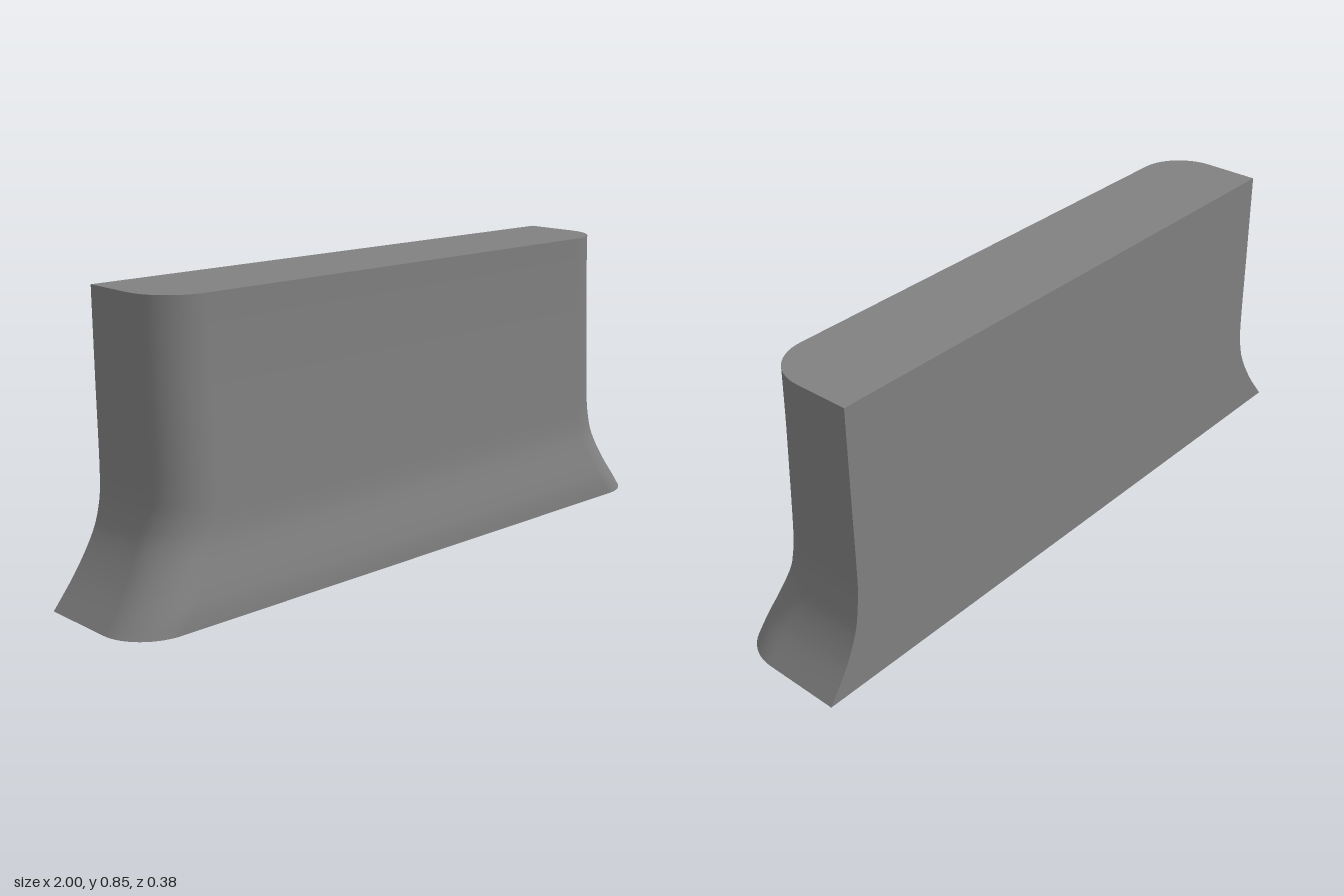
import * as THREE from 'three';

const BACK = -0.187, TOP = 0.848, RADIUS = 0.14, ROWS = 40, ARC = 14;

// Smooth curve through [value, height] pairs, sampled at the given height
function profile(pairs) {
  const points = new THREE.SplineCurve(pairs.map(([v, y]) => new THREE.Vector2(v, y))).getPoints(300);
  return (y) => {
    const i = Math.max(1, points.findIndex((p) => p.y >= y));
    const a = points[i - 1], b = points[i];
    return a.x + (b.x - a.x) * THREE.MathUtils.clamp((y - a.y) / (b.y - a.y), 0, 1);
  };
}

const leftEdge = profile([[-1, 0], [-0.93, 0.09], [-0.875, 0.18], [-0.85, 0.25], [-0.84, 0.34], [-0.84, 0.6], [-0.84, 0.86]]);
const rightEdge = profile([[1, 0], [0.94, 0.09], [0.9, 0.18], [0.885, 0.26], [0.879, 0.34], [0.879, 0.6], [0.879, 0.86]]);
const frontEdge = profile([[0.188, 0], [0.184, 0.05], [0.173, 0.1], [0.148, 0.2], [0.14, 0.26], [0.136, 0.34], [0.126, 0.55], [0.12, 0.7], [0.117, 0.86]]);

// Outline at one height: back corner, rounded front corners, back corner
function section(y) {
  const x0 = leftEdge(y), x1 = rightEdge(y), z = frontEdge(y);
  const out = [[x0, BACK]];
  for (let i = 0; i <= ARC; i++) {
    const a = (i / ARC) * Math.PI / 2;
    out.push([x0 + RADIUS * (1 - Math.cos(a)), z - RADIUS * (1 - Math.sin(a))]);
  }
  for (let i = ARC; i >= 0; i--) {
    const a = (i / ARC) * Math.PI / 2;
    out.push([x1 - RADIUS * (1 - Math.cos(a)), z - RADIUS * (1 - Math.sin(a))]);
  }
  out.push([x1, BACK]);
  // The base rises slightly towards the front
  return out.map(([x, pz]) => [x, y + 0.006 * (pz - BACK) / 0.375 * (1 - y / TOP), pz]);
}

// Surface through rows of points; columns run right and rows run up when seen from outside
function surface(name, rows, material) {
  const n = rows[0].length, index = [];
  for (let r = 0; r < rows.length - 1; r++) {
    for (let c = 0; c < n - 1; c++) {
      const a = r * n + c, d = a + n;
      index.push(a, a + 1, d + 1, a, d + 1, d);
    }
  }
  const geometry = new THREE.BufferGeometry();
  geometry.setAttribute('position', new THREE.Float32BufferAttribute(rows.flat(2), 3));
  geometry.setIndex(index);
  geometry.computeVertexNormals();
  const mesh = new THREE.Mesh(geometry, material);
  mesh.name = name;
  return mesh;
}

export function createModel() {
  const group = new THREE.Group();
  group.name = 'flaredBlock';
  const material = new THREE.MeshStandardMaterial({ color: 0x808080 });
  const rows = Array.from({ length: ROWS + 1 }, (_, i) => section(TOP * i / ROWS));

  // Flared front and sides
  group.add(surface('flaredWall', rows, material));

  // Flat back
  group.add(surface('backFace', rows.map((r) => [r[r.length - 1], r[0]]), material));

  // Flat top and base, spanning from the rounded outline to the back edge
  const cap = (row) => {
    const edge = row.slice(1, -1);
    return [edge, edge.map(([x]) => [x, row[0][1], BACK])];
  };
  group.add(surface('topFace', cap(rows[ROWS]), material));
  group.add(surface('baseFace', cap(rows[0]).reverse(), material));
  return group;
}
